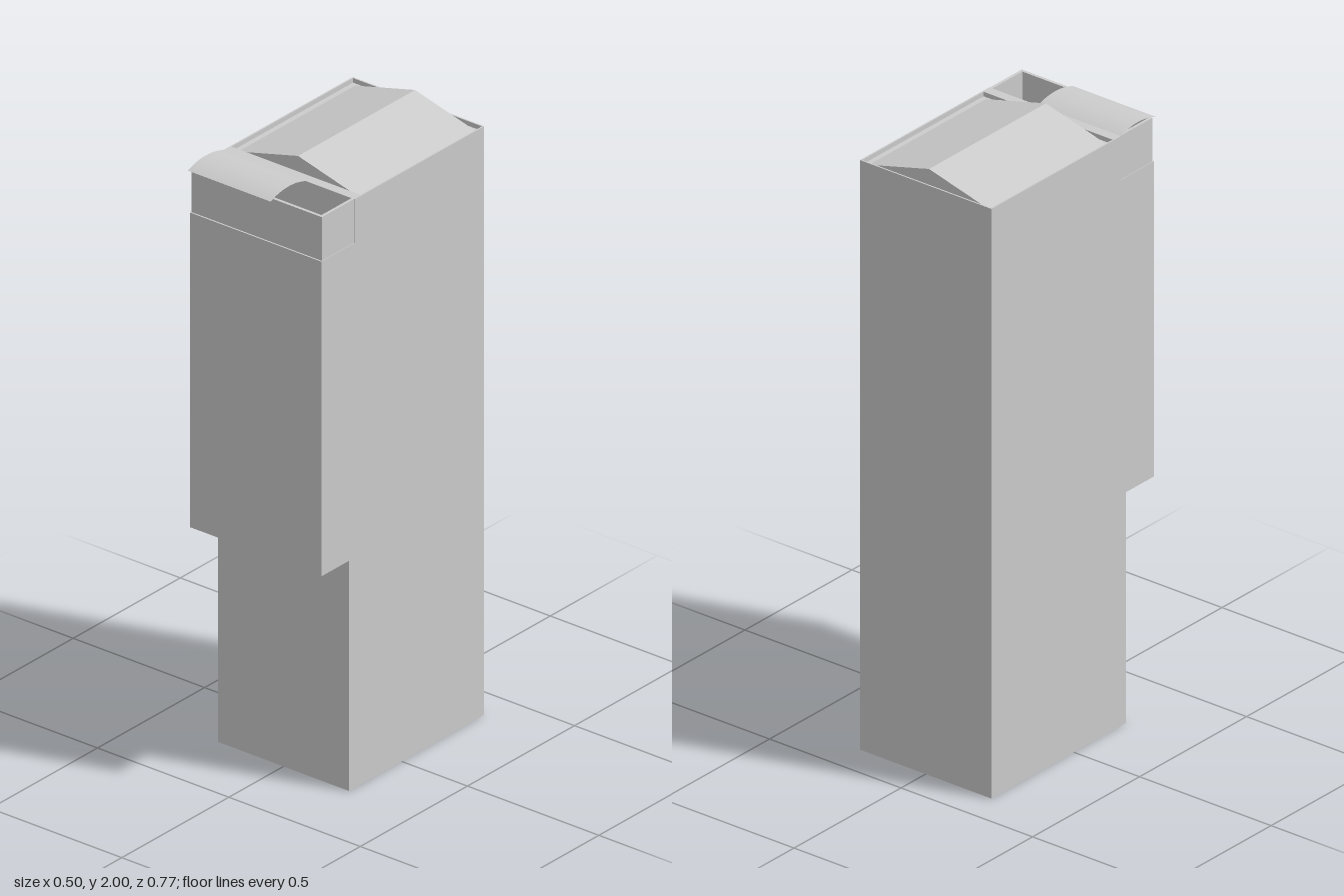
import * as THREE from 'three';

const material = new THREE.MeshStandardMaterial({ color: 0xcccccc });
const thinMaterial = new THREE.MeshStandardMaterial({ color: 0xcccccc, side: THREE.DoubleSide });

const outline = (points) => new THREE.Shape(points.map(([x, y]) => new THREE.Vector2(x, y)));

function add(group, name, geometry, mat = material) {
  const mesh = new THREE.Mesh(geometry, mat);
  mesh.name = name;
  group.add(mesh);
  return mesh;
}

// Extrudes a (z, y) profile sideways from x0 to x1
function sideExtrude(shape, x0, x1) {
  const geometry = new THREE.ExtrudeGeometry(shape, { depth: x1 - x0, bevelEnabled: false });
  return geometry.rotateY(-Math.PI / 2).translate(x1, 0, 0);
}

function boxBetween(x0, x1, y0, y1, z0, z1) {
  return new THREE.BoxGeometry(x1 - x0, y1 - y0, z1 - z0)
    .translate((x0 + x1) / 2, (y0 + y1) / 2, (z0 + z1) / 2);
}

export function createModel() {
  const group = new THREE.Group();
  group.name = 'towerBlock';

  const halfWidth = 0.25, back = -0.385, terraceBack = 0.22;
  const terraceY = 1.81, roofY = 1.94, topY = 1.955;

  // Tower with the overhanging upper front and the terrace step
  add(group, 'towerBody', sideExtrude(outline([
    [back, 0], [0.245, 0], [0.245, 0.765], [0.375, 0.765],
    [0.375, terraceY], [terraceBack, terraceY], [terraceBack, roofY], [back, roofY],
  ]), -halfWidth, halfWidth));

  // Low parapet around the roof recess, with a broad front strip
  const frame = outline([
    [-halfWidth, -terraceBack], [halfWidth, -terraceBack], [halfWidth, -back], [-halfWidth, -back],
  ]);
  frame.holes.push(outline([[-0.245, -0.187], [-0.245, 0.38], [0.245, 0.38], [0.245, -0.187]]));
  add(group, 'roofParapet', new THREE.ExtrudeGeometry(frame, { depth: topY - roofY, bevelEnabled: false })
    .rotateX(-Math.PI / 2).translate(0, roofY, 0));

  // Shallow gabled roof
  add(group, 'gableRoof', new THREE.ExtrudeGeometry(
    outline([[-0.228, roofY], [0.228, roofY], [0, 2]]), { depth: 0.546, bevelEnabled: false },
  ).translate(0, 0, -0.369));

  // Terrace walls: front and both sides, set in slightly
  add(group, 'terraceFrontWall', boxBetween(-0.248, 0.248, terraceY, topY, 0.36, 0.37));
  for (const [name, s] of [['terraceLeftWall', 1], ['terraceRightWall', -1]]) {
    add(group, name, boxBetween(s * 0.243 - 0.005, s * 0.243 + 0.005, terraceY, topY, terraceBack, 0.36));
  }

  // Thin arched canopy over part of the terrace
  const x0 = -halfWidth, x1 = 0.065, rise = 0.017, halfSpan = 0.085;
  const radius = (halfSpan ** 2 + rise ** 2) / (2 * rise);
  const sweep = 2 * Math.asin(halfSpan / radius);
  add(group, 'terraceCanopy', new THREE.CylinderGeometry(radius, radius, x1 - x0, 20, 1, true, -sweep / 2, sweep)
    .rotateX(-Math.PI / 2) // arc midpoint now faces up
    .rotateY(Math.PI / 2)
    .translate((x0 + x1) / 2, topY + rise - 0.002 - radius, 0.3), thinMaterial);

  return group;
}
